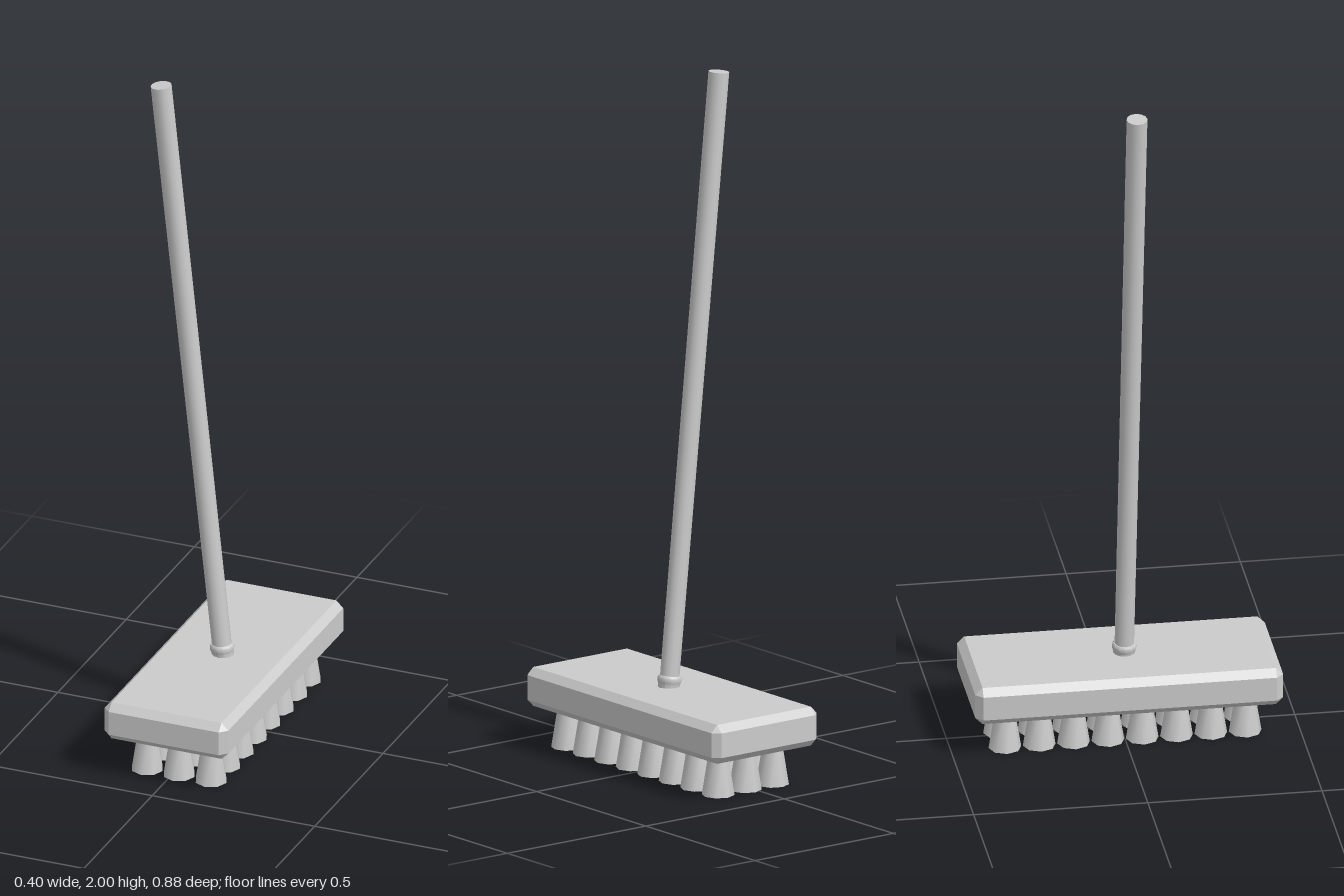
import * as THREE from 'three';
import { ConvexGeometry } from 'three/addons/geometries/ConvexGeometry.js';
import { toCreasedNormals } from 'three/addons/utils/BufferGeometryUtils.js';

const material = new THREE.MeshStandardMaterial({ color: 0xcccccc });

// Box with every edge cut by a flat bevel
function chamferedBox(w, h, d, c) {
  const points = [];
  for (const sx of [-1, 1]) for (const sy of [-1, 1]) for (const sz of [-1, 1]) {
    const x = w / 2, y = h / 2, z = d / 2;
    points.push(
      new THREE.Vector3(sx * x, sy * (y - c), sz * (z - c)),
      new THREE.Vector3(sx * (x - c), sy * y, sz * (z - c)),
      new THREE.Vector3(sx * (x - c), sy * (y - c), sz * z));
  }
  return new ConvexGeometry(points);
}

export function createModel() {
  const model = new THREE.Group();
  model.name = 'broom';
  const add = (name, geometry, parent = model) => {
    const mesh = new THREE.Mesh(geometry, material);
    mesh.name = name;
    parent.add(mesh);
    return mesh;
  };

  // Bevelled head block
  add('head', chamferedBox(0.38, 0.114, 0.884, 0.021)).position.set(0.011, 0.172, 0);

  // Three rows of eight flared bristle tufts
  const bristles = new THREE.Group();
  bristles.name = 'bristles';
  model.add(bristles);
  const tuft = toCreasedNormals(new THREE.CylinderGeometry(0.027, 0.047, 0.125, 8), 0.9);
  for (let row = 0; row < 3; row++) {
    for (let i = 0; i < 8; i++) {
      add('bristleTuft', tuft, bristles).position.set(-0.08 + row * 0.098, 0.0625, (i - 3.5) * 0.0985);
    }
  }

  // Leaning handle with its socket collar, built along one tilted axis
  const base = new THREE.Vector3(0.014, 0.215, 0.012);
  const axis = new THREE.Vector3(-0.174, 1.997, 0.02).sub(base);
  const length = axis.length();
  const shaft = new THREE.Group();
  shaft.name = 'shaft';
  shaft.position.copy(base);
  shaft.quaternion.setFromUnitVectors(new THREE.Vector3(0, 1, 0), axis.normalize());
  model.add(shaft);
  const pole = new THREE.CylinderGeometry(0.03, 0.028, length, 12);
  add('handle', toCreasedNormals(pole, 0.9), shaft).position.y = length / 2;
  const collar = [[0, 0], [0.032, 0], [0.032, 0.022], [0.035, 0.03], [0.035, 0.04], [0.031, 0.046], [0, 0.046]]
    .map(([r, y]) => new THREE.Vector2(r, y));
  add('collar', toCreasedNormals(new THREE.LatheGeometry(collar, 12), 0.6), shaft);

  return model;
}
